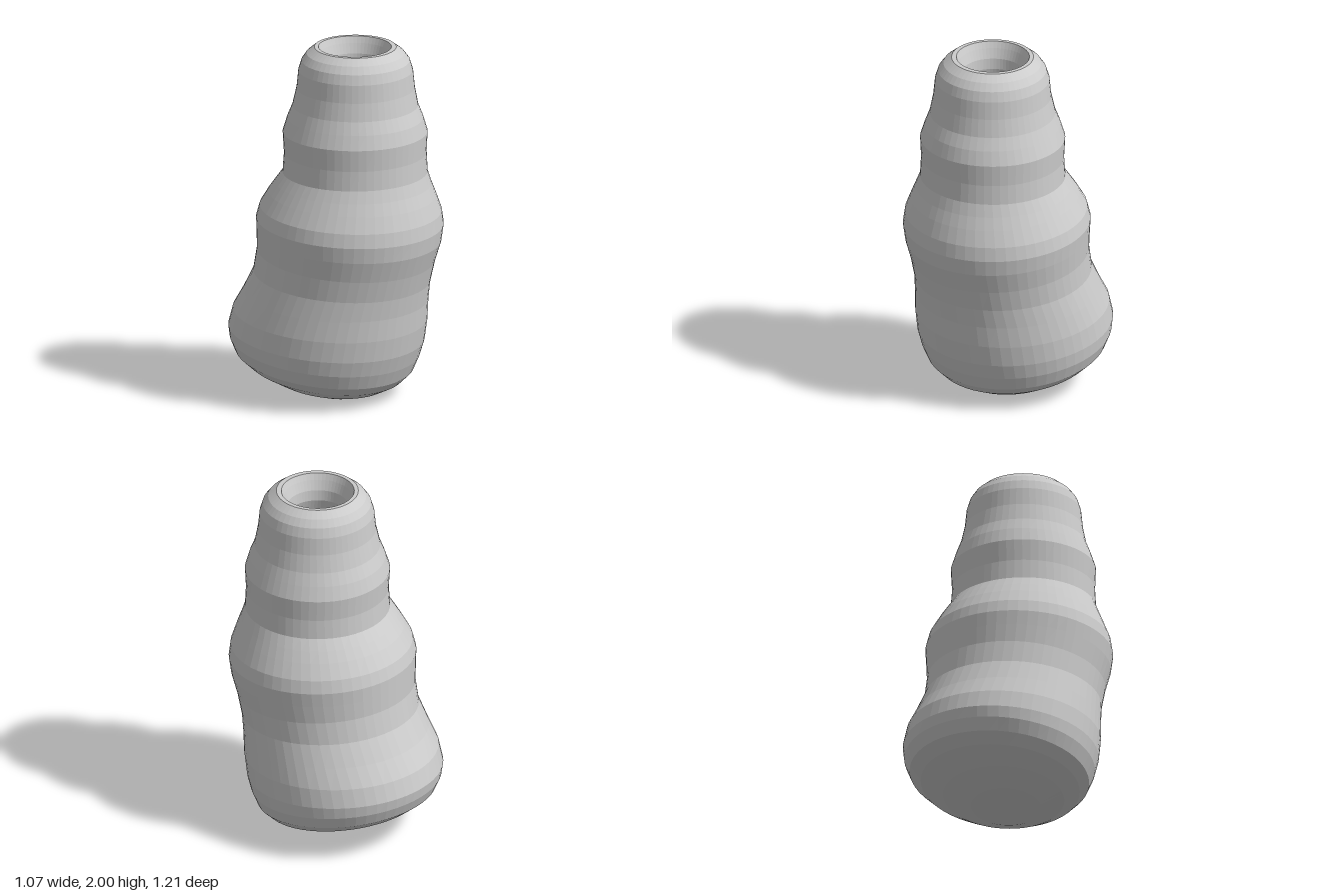
import * as THREE from 'three';

const SEGMENTS = 56;

// Tilted elliptical rings, bottom to top: [front z, front y, back z, back y, half width]
const OUTER = [
  [0.16, 0.005, -0.2, 0.065, 0.2],
  [0.28, 0.04, -0.36, 0.13, 0.34],
  [0.36, 0.08, -0.5, 0.205, 0.44],
  [0.41, 0.13, -0.565, 0.26, 0.495],
  [0.445, 0.21, -0.595, 0.33, 0.525],
  [0.475, 0.3, -0.605, 0.39, 0.535],
  [0.495, 0.42, -0.575, 0.49, 0.53],
  [0.505, 0.54, -0.51, 0.595, 0.51],
  [0.523, 0.65, -0.445, 0.72, 0.488],
  [0.555, 0.77, -0.42, 0.85, 0.49],
  [0.595, 0.89, -0.42, 0.95, 0.505],
  [0.607, 0.98, -0.42, 1.03, 0.515],
  [0.598, 1.06, -0.4, 1.1, 0.5],
  [0.57, 1.15, -0.35, 1.18, 0.46],
  [0.545, 1.22, -0.31, 1.235, 0.43],
  [0.525, 1.29, -0.268, 1.29, 0.4],
  [0.52, 1.4, -0.26, 1.4, 0.393],
  [0.526, 1.52, -0.268, 1.52, 0.398],
  [0.505, 1.6, -0.245, 1.6, 0.37],
  [0.475, 1.67, -0.215, 1.67, 0.345],
  [0.457, 1.77, -0.192, 1.77, 0.324],
  [0.447, 1.87, -0.182, 1.87, 0.314],
  [0.43, 1.925, -0.165, 1.925, 0.297],
  [0.4, 1.965, -0.138, 1.965, 0.268],
  [0.355, 2.0, -0.095, 2.0, 0.224],
];

const circle = (r, y) => [0.127 + r, y, 0.127 - r, y, r];
const MOUTH = [circle(0.2, 2.0), circle(0.185, 1.965), circle(0.165, 1.91), circle(0.16, 1.85)];

// Inner wall: an outer ring shrunk by the wall thickness
function shrink([zf, yf, zb, yb, w], wall = 0.145) {
  const k = 1 - wall / w;
  const z = (zf + zb) / 2, y = (yf + yb) / 2;
  const hz = (zf - zb) / 2 * k, hy = (yf - yb) / 2 * k;
  return [z + hz, y + hy, z - hz, y - hy, w * k];
}

// Joins the rings into one skin and closes both ends with a fan
function loft(rings) {
  const positions = [];
  const index = [];
  for (const [zf, yf, zb, yb, w] of rings) {
    for (let i = 0; i < SEGMENTS; i++) {
      const a = i / SEGMENTS * Math.PI * 2;
      const c = Math.cos(a) / 2;
      positions.push(w * Math.sin(a), (yf + yb) / 2 + (yf - yb) * c, (zf + zb) / 2 + (zf - zb) * c);
    }
  }
  for (let r = 0; r < rings.length - 1; r++) {
    for (let i = 0; i < SEGMENTS; i++) {
      const j = (i + 1) % SEGMENTS;
      const a = r * SEGMENTS + i, b = r * SEGMENTS + j;
      index.push(a, b, b + SEGMENTS, a, b + SEGMENTS, a + SEGMENTS);
    }
  }
  const cap = (r, sink, flip) => {
    const [zf, yf, zb, yb] = rings[r];
    const centre = positions.length / 3;
    positions.push(0, (yf + yb) / 2 - sink, (zf + zb) / 2);
    for (let i = 0; i < SEGMENTS; i++) {
      const a = r * SEGMENTS + i, b = r * SEGMENTS + (i + 1) % SEGMENTS;
      index.push(centre, ...(flip ? [b, a] : [a, b]));
    }
  };
  cap(0, 0.01, true);
  cap(rings.length - 1, 0.01, false);
  const geometry = new THREE.BufferGeometry();
  geometry.setAttribute('position', new THREE.Float32BufferAttribute(positions, 3));
  geometry.setIndex(index);
  geometry.computeVertexNormals();
  return geometry;
}

export function createModel() {
  const group = new THREE.Group();
  group.name = 'leaningVase';

  // Outside wall, rim, mouth, then down the inside to the floor
  const inside = OUTER.slice(4, 21).reverse().map((ring) => shrink(ring));
  const material = new THREE.MeshStandardMaterial({ color: 0xcccccc, flatShading: true });
  const body = new THREE.Mesh(loft([...OUTER, ...MOUTH, ...inside]), material);
  body.name = 'hollowBody';
  group.add(body);
  return group;
}
